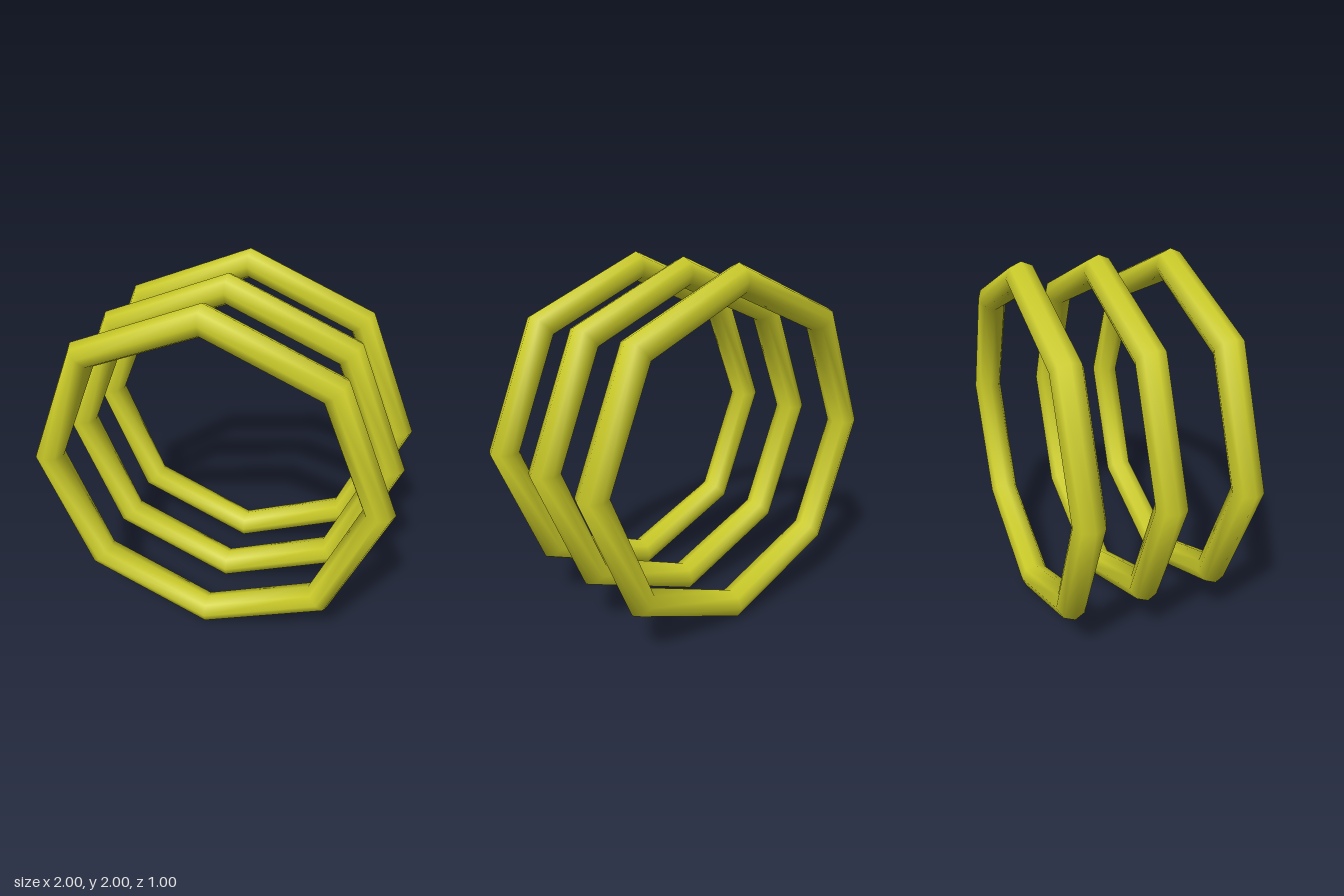
import * as THREE from 'three';

const TUBE = 0.083;          // tube radius
const RING = 1 - TUBE;       // radius of the ring's centre line
const SPACING = 0.416;       // distance between neighbouring rings

export function createModel() {
  const model = new THREE.Group();
  model.name = 'octagonalRings';

  const material = new THREE.MeshStandardMaterial({ color: 0xcccc2a });

  // Eight-sided ring with an eight-sided, smooth-shaded tube
  const geometry = new THREE.TorusGeometry(RING, TUBE, 8, 8);

  // Three identical rings in a row, front to back
  ['backRing', 'middleRing', 'frontRing'].forEach((name, i) => {
    const ring = new THREE.Mesh(geometry, material);
    ring.name = name;
    ring.position.set(0, 1, (i - 1) * SPACING);
    model.add(ring);
  });

  return model;
}
